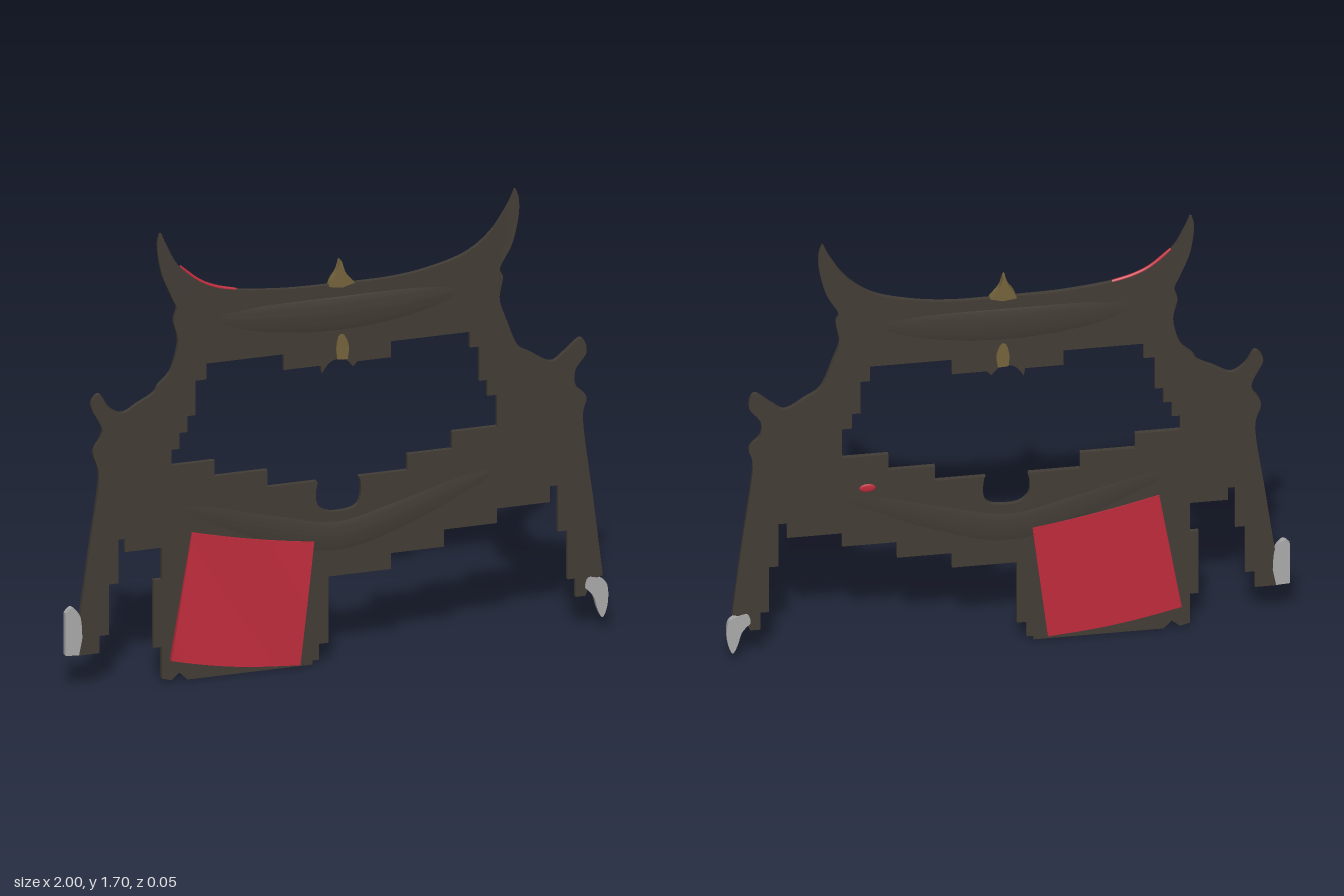
import * as THREE from 'three';

const MID = -0.008; // middle of the plate's thickness

const mat = (name, color) => {
  const m = new THREE.MeshStandardMaterial({ color });
  m.name = name;
  return m;
};

// flat list x, y, x, y ... to points
const pairs = (a) => {
  const out = [];
  for (let i = 0; i < a.length; i += 2) out.push(new THREE.Vector2(a[i], a[i + 1]));
  return out;
};

// smooth edge through a few points
const smooth = (a, n = 40) => new THREE.SplineCurve(pairs(a)).getPoints(n);

// staircase edge: from (x, y), then alternate new x and new y (or y first)
const stairs = (x, y, xFirst, moves) => {
  const out = [new THREE.Vector2(x, y)];
  moves.forEach((v, i) => {
    if ((i % 2 === 0) === xFirst) x = v; else y = v;
    out.push(new THREE.Vector2(x, y));
  });
  return out;
};

// flat slab centred on the plate's thickness
const slab = (points, depth, holes = []) => {
  const shape = new THREE.Shape(points);
  holes.forEach((h) => shape.holes.push(new THREE.Path(h)));
  const g = new THREE.ExtrudeGeometry(shape, { depth, bevelEnabled: false });
  return g.translate(0, 0, MID - depth / 2);
};

// swollen rib: flattened tube along a curve, tapering at both ends
const rib = (pts, radius, halfDepth) => {
  const path = new THREE.CatmullRomCurve3(pts.map(([x, y]) => new THREE.Vector3(x, y, 0)));
  const n = 48, r = 16;
  const g = new THREE.TubeGeometry(path, n, radius, r);
  const p = g.attributes.position;
  for (let i = 0; i <= n; i++) {
    const c = path.getPointAt(i / n);
    const s = Math.sqrt(Math.max(0, Math.sin((Math.PI * i) / n)));
    for (let j = 0; j <= r; j++) {
      const k = i * (r + 1) + j;
      p.setXYZ(k, c.x + (p.getX(k) - c.x) * s, c.y + (p.getY(k) - c.y) * s,
        MID + (p.getZ(k) / radius) * halfDepth * s);
    }
  }
  g.computeVertexNormals();
  return g;
};

export function createModel() {
  const group = new THREE.Group();
  const dark = mat('darkHide', 0x423c35);
  const red = mat('redCloth', 0xbf2b3c);
  const gold = mat('dullGold', 0x75643c);
  const grey = mat('clawGrey', 0xaaaaaa);
  const add = (name, geometry, material) => {
    const m = new THREE.Mesh(geometry, material);
    m.name = name;
    group.add(m);
    return m;
  };

  // frame outline: stepped lower edge, then right side, horns and left side
  const lowerEdge = [
    ...stairs(-0.96, 0.145, true,
      [-0.875, 0.21, -0.84, 0.4, -0.805, 0.565, -0.78, 0.515, -0.645, 0.395, -0.675, 0.14, -0.645, 0.02]),
    ...pairs([-0.61, 0.01, -0.58, 0.035, -0.55, 0.005]),
    ...stairs(-0.09, 0.005, false,
      [0.02, -0.065, 0.08, -0.03, 0.33, 0.2, 0.39, 0.395, 0.455, 0.59, 0.51, 0.785,
        0.57, 0.815, 0.395, 0.85, 0.21, 0.88, 0.14, 0.915]),
    ...pairs([0.945, 0.2]),
  ];
  const rightSide = smooth([
    0.98, 0.21, 0.945, 0.5, 0.907, 0.8, 0.92, 0.89, 0.88, 0.94, 0.88, 1.0, 0.92, 1.06, 0.9, 1.115,
    0.84, 1.07, 0.79, 1.04, 0.72, 1.08, 0.665, 1.12, 0.625, 1.22, 0.6, 1.3, 0.612, 1.38, 0.602, 1.42,
    0.645, 1.5, 0.67, 1.6, 0.672, 1.67, 0.66, 1.708], 110);
  const topEdge = smooth([
    0.655, 1.705, 0.63, 1.65, 0.57, 1.56, 0.48, 1.49, 0.35, 1.45, 0.2, 1.43, 0, 1.43, -0.2, 1.435,
    -0.4, 1.46, -0.5, 1.5, -0.58, 1.57, -0.62, 1.64, -0.645, 1.7], 70);
  const leftSide = smooth([
    -0.652, 1.698, -0.66, 1.65, -0.645, 1.55, -0.61, 1.46, -0.59, 1.41, -0.6, 1.36, -0.585, 1.28,
    -0.61, 1.18, -0.655, 1.13, -0.675, 1.1, -0.73, 1.07, -0.79, 1.04, -0.84, 1.07, -0.875, 1.122,
    -0.905, 1.08, -0.868, 1.0, -0.867, 0.96, -0.897, 0.9, -0.876, 0.8, -0.91, 0.55, -0.945, 0.3], 110);

  // stepped opening with a round bite at the bottom and a scallop at the top
  const opening = [
    ...stairs(-0.48, 1.19, true, [-0.195, 1.13, -0.06]),
    ...smooth([-0.055, 1.1, -0.03, 1.135, 0, 1.147, 0.035, 1.14, 0.06, 1.112], 14),
    ...stairs(0.075, 1.13, true,
      [0.2, 1.19, 0.49, 1.13, 0.525, 1.0, 0.555, 0.94, 0.59, 0.82, 0.425, 0.755, 0.26, 0.695, 0.08]),
    ...smooth([0.085, 0.69, 0.09, 0.64, 0.08, 0.595, 0.045, 0.575, -0.03, 0.575, -0.07, 0.605, -0.077, 0.65, -0.07, 0.69], 24),
    ...stairs(-0.075, 0.695, true,
      [-0.255, 0.76, -0.45, 0.82, -0.61, 0.88, -0.58, 0.94, -0.55, 1.0, -0.52, 1.13, -0.48]),
  ];
  const plate = slab([...lowerEdge, ...rightSide, ...topEdge, ...leftSide], 0.018, [opening]);
  // thin the horn tips
  const pp = plate.attributes.position;
  for (let i = 0; i < pp.count; i++) {
    const t = Math.max(0, (pp.getY(i) - 1.5) / 0.21);
    pp.setZ(i, MID + (pp.getZ(i) - MID) * (1 - 0.6 * t));
  }
  plate.computeVertexNormals();
  add('frame', plate, dark);

  // soft swellings across the brow and the jaw
  add('browRib', rib([[-0.57, 1.37], [-0.3, 1.335], [0, 1.32], [0.3, 1.335], [0.58, 1.37]], 0.08, 0.015), dark);
  add('jawRib', rib([[-0.84, 0.73], [-0.5, 0.63], [-0.25, 0.54], [0, 0.48], [0.25, 0.54], [0.5, 0.63], [0.86, 0.73]], 0.075, 0.013), dark);

  // cloth patch hanging forward at its lower edge, showing on the back too
  const cloth = new THREE.BoxGeometry(1, 1, 1, 14, 14, 1);
  const cp = cloth.attributes.position;
  const lerp = THREE.MathUtils.lerp;
  for (let i = 0; i < cp.count; i++) {
    const u = cp.getX(i) + 0.5, v = cp.getY(i) + 0.5;
    const front = cp.getZ(i) > 0;
    const x = lerp(lerp(-0.615, -0.14, u), lerp(-0.535, -0.085, u), v);
    const y = lerp(lerp(0.09, 0.015, u), lerp(0.56, 0.47, u), v)
      - 0.012 * Math.sin(Math.PI * u) * (1 - v) - 0.008 * Math.sin(Math.PI * u) * v;
    const z = front ? lerp(0.022, 0.007, v) + 0.003 * Math.sin(u * 5 + v * 3) * (1 - v) : -0.021;
    cp.setXYZ(i, x, y, z);
  }
  cloth.computeVertexNormals();
  add('clothPatch', cloth, red);

  // red trim on one horn and a small red spot behind
  const trim = new THREE.CatmullRomCurve3(
    [[-0.58, 1.567], [-0.5, 1.5], [-0.44, 1.472], [-0.37, 1.453]].map(([x, y]) => new THREE.Vector3(x, y, MID)));
  add('hornTrim', new THREE.TubeGeometry(trim, 20, 0.007, 8), red);
  const spot = add('backSpot', new THREE.SphereGeometry(1, 16, 8).scale(0.03, 0.016, 0.004), red);
  spot.position.set(0.5, 0.69, -0.019);

  // gold crest and gold drop
  add('crest', slab([...smooth([-0.03, 1.425, -0.02, 1.45, 0, 1.48, 0.012, 1.52], 10),
    ...smooth([0.018, 1.515, 0.03, 1.475, 0.05, 1.448, 0.065, 1.43], 10), new THREE.Vector2(0.02, 1.418)], 0.03), gold);
  add('drop', slab(smooth([0, 1.148, -0.003, 1.19, 0.005, 1.23, 0.02, 1.24, 0.033, 1.225, 0.043, 1.19, 0.038, 1.145], 24), 0.03), gold);

  // claws at the leg ends
  add('rightClaw', slab([...pairs([-1, 0.15, -0.95, 0.147]),
    ...smooth([-0.938, 0.21, -0.945, 0.29, -0.975, 0.328, -1, 0.31], 16)], 0.022), grey);
  add('leftClaw', slab(smooth([0.915, 0.17, 0.945, 0.135, 0.96, 0.085, 0.978, 0.052, 0.995, 0.09,
    0.999, 0.15, 0.985, 0.19, 0.93, 0.21, 0.915, 0.185], 36), 0.022), grey);

  return group;
}
